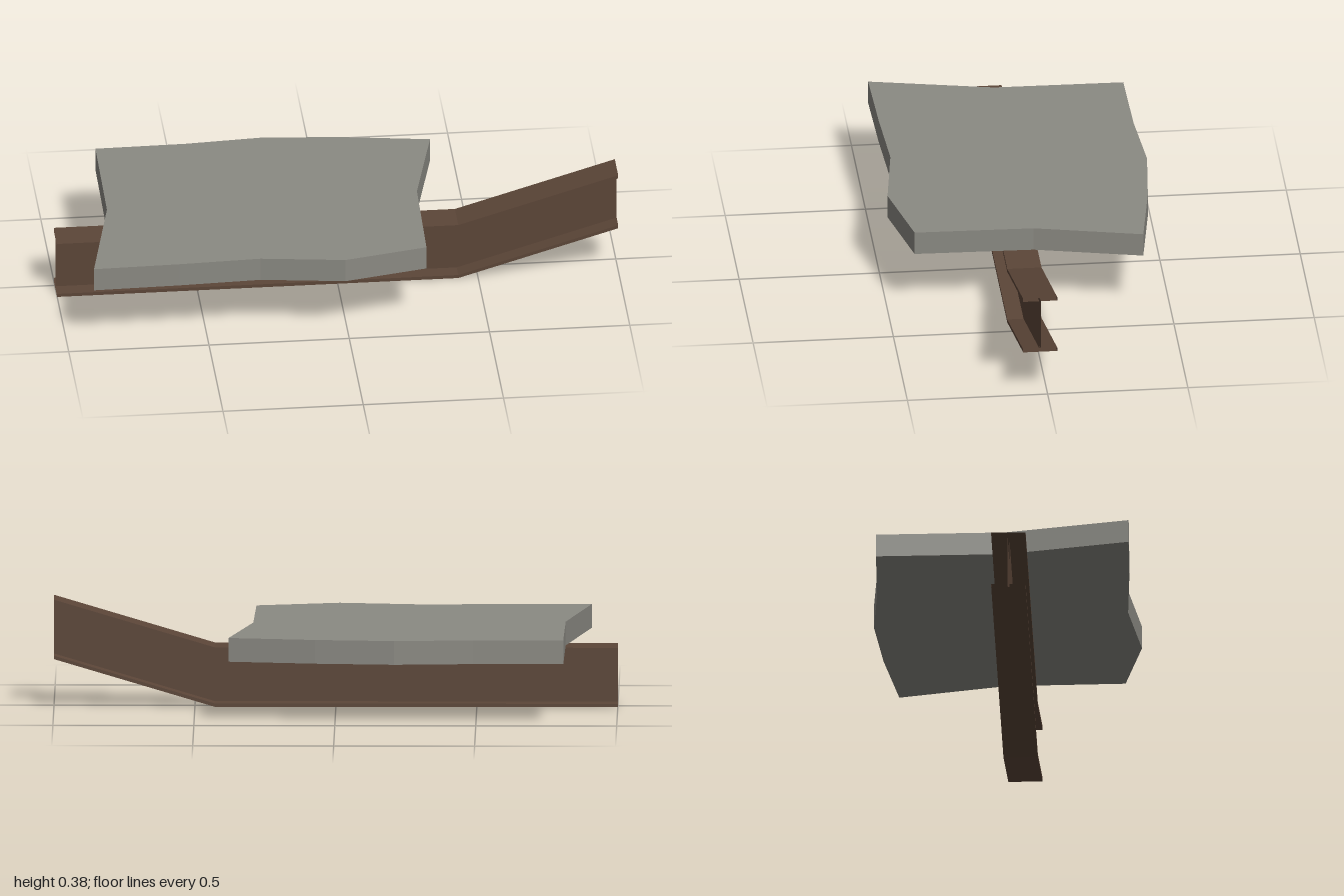
import * as THREE from 'three';

const rust = new THREE.MeshStandardMaterial({ color: 0x5c4638, side: THREE.DoubleSide });
rust.name = 'rusty brown';
const stone = new THREE.MeshStandardMaterial({ color: 0x8b8a83 });
stone.name = 'concrete grey';

// Sweep a closed (z, y) section, listed counter-clockwise, along (x, rise) stations; ends stay open
function sweep(section, stations) {
  const pos = [];
  const n = section.length;
  const at = (s, j) => [stations[s][0], section[j % n][1] + stations[s][1], section[j % n][0]];
  for (let s = 0; s < stations.length - 1; s++) {
    for (let j = 0; j < n; j++) {
      const a = at(s, j), b = at(s, j + 1), c = at(s + 1, j + 1), d = at(s + 1, j);
      pos.push(...a, ...d, ...c, ...a, ...c, ...b);
    }
  }
  const geo = new THREE.BufferGeometry();
  geo.setAttribute('position', new THREE.Float32BufferAttribute(pos, 3));
  geo.computeVertexNormals();
  return geo;
}

export function createModel() {
  const model = new THREE.Group();
  model.name = 'slabOnBentBeam';

  // I-beam with one end bent upward
  const half = 0.061, web = 0.003, height = 0.213, t = 0.012;
  const section = [
    [-half, 0], [half, 0], [half, t], [web, t], [web, height - t], [half, height - t],
    [half, height], [-half, height], [-half, height - t], [-web, height - t], [-web, t], [-half, t],
  ];
  const beam = new THREE.Mesh(sweep(section, [[-1, 0], [0.43, 0], [1, 0.17]]), rust);
  beam.name = 'bentBeam';
  beam.position.z = 0.026;
  model.add(beam);

  // Broken slab with an uneven outline, given as (x, z)
  const outline = [
    [-0.81, -0.45], [-0.49, -0.455], [-0.21, -0.475], [0.07, -0.45], [0.378, -0.403], [0.293, -0.02],
    [0.285, 0.403], [-0.01, 0.47], [-0.31, 0.43], [-0.6, 0.443], [-0.905, 0.45], [-0.815, 0.01],
  ];
  const shape = new THREE.Shape(outline.map(([x, z]) => new THREE.Vector2(x, z)));
  const slabGeo = new THREE.ExtrudeGeometry(shape, { depth: 0.085, bevelEnabled: false });
  slabGeo.rotateX(Math.PI / 2);
  const slab = new THREE.Mesh(slabGeo, stone);
  slab.name = 'brokenSlab';
  slab.position.y = 0.3;
  model.add(slab);

  return model;
}
